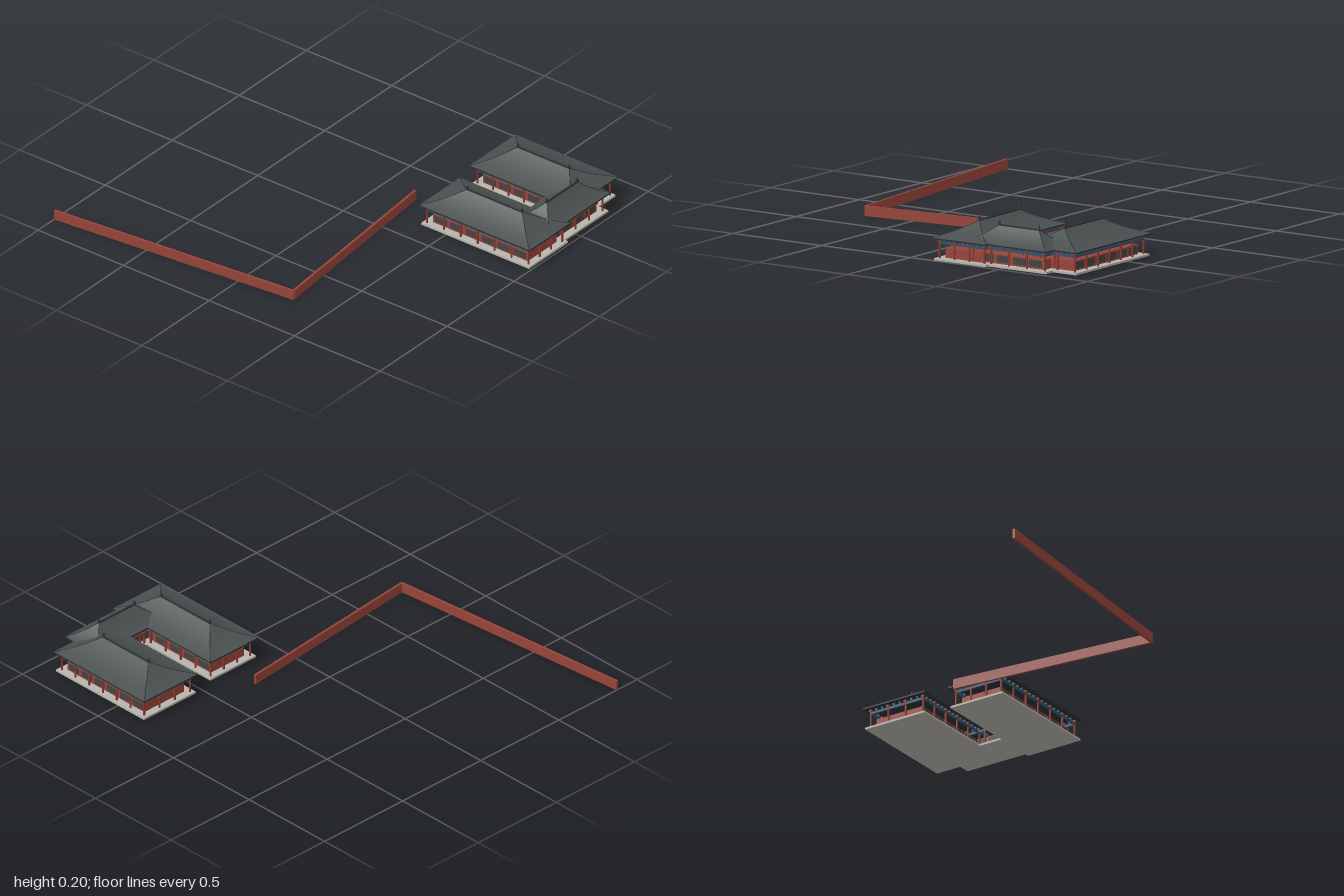
import * as THREE from 'three';

const mat = (name, color, extra = {}) => {
  const m = new THREE.MeshStandardMaterial({ color, ...extra });
  m.name = name;
  return m;
};

export function createModel() {
  const M = {
    tile: mat('grey roof tile', 0x4a5050, { side: THREE.DoubleSide }),
    ridge: mat('dark ridge', 0x2c3133),
    red: mat('red plaster', 0x97443a),
    column: mat('red column', 0x8f3a2e),
    blue: mat('blue beam', 0x2f5470),
    stone: mat('pale stone', 0xb8b4ad),
    window: mat('dark lattice', 0x3f4443),
  };
  const root = new THREE.Group();
  root.name = 'walledCourt';

  const add = (parent, name, geo, material, x, y, z) => {
    const m = new THREE.Mesh(geo, material);
    m.name = name;
    m.position.set(x, y, z);
    parent.add(m);
    return m;
  };
  const box = (parent, name, material, w, h, d, x, y, z) =>
    add(parent, name, new THREE.BoxGeometry(w, h, d), material, x, y, z);

  const EAVE = 0.107, RISE = 0.073, STEPS = 8;
  const sag = (t) => EAVE + RISE * (0.55 * t + 0.45 * t * t);

  // Corner c of the roof outline at height fraction t
  const CORNERS = [[-1, 1], [1, 1], [1, -1], [-1, -1]];
  const roofPoint = (c, t, hl, hw, hr) => new THREE.Vector3(
    CORNERS[c][0] * (hl + (hr - hl) * t), sag(t), CORNERS[c][1] * hw * (1 - t));

  // Concave hipped roof, one strip of quads per slope
  function roofGeometry(hl, hw, hr) {
    const pos = [], idx = [];
    for (let c = 0; c < 4; c++) {
      const base = pos.length / 3;
      for (let i = 0; i <= STEPS; i++) {
        pos.push(...roofPoint(c, i / STEPS, hl, hw, hr).toArray());
        pos.push(...roofPoint((c + 1) % 4, i / STEPS, hl, hw, hr).toArray());
      }
      for (let i = 0; i < STEPS; i++) {
        const a = base + 2 * i;
        idx.push(a, a + 1, a + 3, a, a + 3, a + 2);
      }
    }
    const g = new THREE.BufferGeometry();
    g.setAttribute('position', new THREE.Float32BufferAttribute(pos, 3));
    g.setIndex(idx);
    g.computeVertexNormals();
    return g;
  }

  const finialGeo = new THREE.LatheGeometry(
    [[0.008, 0], [0.008, 0.006], [0.005, 0.01], [0.006, 0.015], [0.003, 0.023], [0, 0.026]]
      .map(([x, y]) => new THREE.Vector2(x, y)), 8);
  const columnGeo = new THREE.CylinderGeometry(0.005, 0.005, 0.08, 8);

  // Hall with its long side along local x
  function hall(name, cx, cz, length, width, ridgeLength, baysL, baysW, turned) {
    const g = new THREE.Group();
    g.name = name;
    g.position.set(cx, 0, cz);
    if (turned) g.rotation.y = Math.PI / 2;
    const hl = length / 2, hw = width / 2, hr = ridgeLength / 2;

    // Platform and enclosed room
    box(g, 'platform', M.stone, length - 0.014, 0.01, width - 0.014, 0, 0.005, 0);
    const bl = length - 0.09, bw = width - 0.09;
    box(g, 'room', M.red, bl, 0.046, bw, 0, 0.033, 0);
    const bay = bl / baysL;
    for (let i = 0; i < baysL; i++) for (const s of [-1, 1])
      box(g, 'latticePanel', M.window, bay * 0.78, 0.032, 0.004,
        -bl / 2 + bay * (i + 0.5), 0.034, s * bw / 2);

    // Columns and bracket blocks around the veranda
    const xl = hl - 0.026, zl = hw - 0.026;
    const post = (x, z) => {
      add(g, 'column', columnGeo, M.column, x, 0.05, z);
      box(g, 'bracket', M.column, 0.014, 0.01, 0.014, x, 0.095, z);
    };
    for (const s of [-1, 1]) {
      for (let i = 0; i <= baysL; i++) post(-xl + 2 * xl * i / baysL, s * zl);
      for (let i = 1; i < baysW; i++) post(s * xl, -zl + 2 * zl * i / baysW);
      box(g, 'longBeam', M.blue, 2 * xl, 0.012, 0.007, 0, 0.083, s * zl);
      box(g, 'endBeam', M.blue, 0.007, 0.012, 2 * zl, s * xl, 0.083, 0);
      // Small blocks between the columns
      for (let i = 0; i < baysL * 3; i++) if (i % 3)
        box(g, 'bracketBlock', M.blue, 0.01, 0.012, 0.012, -xl + 2 * xl * i / (baysL * 3), 0.095, s * zl);
      for (let i = 0; i < baysW * 3; i++) if (i % 3)
        box(g, 'bracketBlock', M.blue, 0.012, 0.012, 0.01, s * xl, 0.095, -zl + 2 * zl * i / (baysW * 3));
    }

    // Roof, eave board, ridges and finials
    box(g, 'eaveBoard', M.ridge, length, 0.007, width, 0, 0.1035, 0);
    add(g, 'roof', roofGeometry(hl, hw, hr), M.tile, 0, 0, 0);
    box(g, 'mainRidge', M.ridge, ridgeLength, 0.006, 0.008, 0, 0.18, 0);
    for (let c = 0; c < 4; c++) {
      const pts = [0, 0.25, 0.5, 0.75, 1].map((t) => roofPoint(c, t, hl, hw, hr));
      add(g, 'hipRidge', new THREE.TubeGeometry(new THREE.CatmullRomCurve3(pts), 8, 0.002, 5),
        M.ridge, 0, 0, 0);
    }
    for (const s of [-1, 1]) add(g, 'finial', finialGeo, M.ridge, s * hr, 0.179, 0);
    root.add(g);
  }

  hall('rightHall', 0.272, 0.673, 0.645, 0.305, 0.32, 6, 3, true);
  hall('leftHall', 0.707, 0.618, 0.597, 0.345, 0.3, 6, 3, true);
  hall('frontHall', 0.523, 0.87, 0.455, 0.21, 0.225, 4, 2, false);

  // Straight boundary walls
  const wall = (name, x0, z0, x1, z1) => {
    const m = box(root, name, M.red, Math.hypot(x1 - x0, z1 - z0), 0.048, 0.012,
      (x0 + x1) / 2, 0.024, (z0 + z1) / 2);
    m.rotation.y = -Math.atan2(z1 - z0, x1 - x0);
  };
  wall('sideWall', -0.875, -1, -0.75, 0.3);
  wall('backWall', -0.752, 0.298, 0.288, 0.197);

  return root;
}
